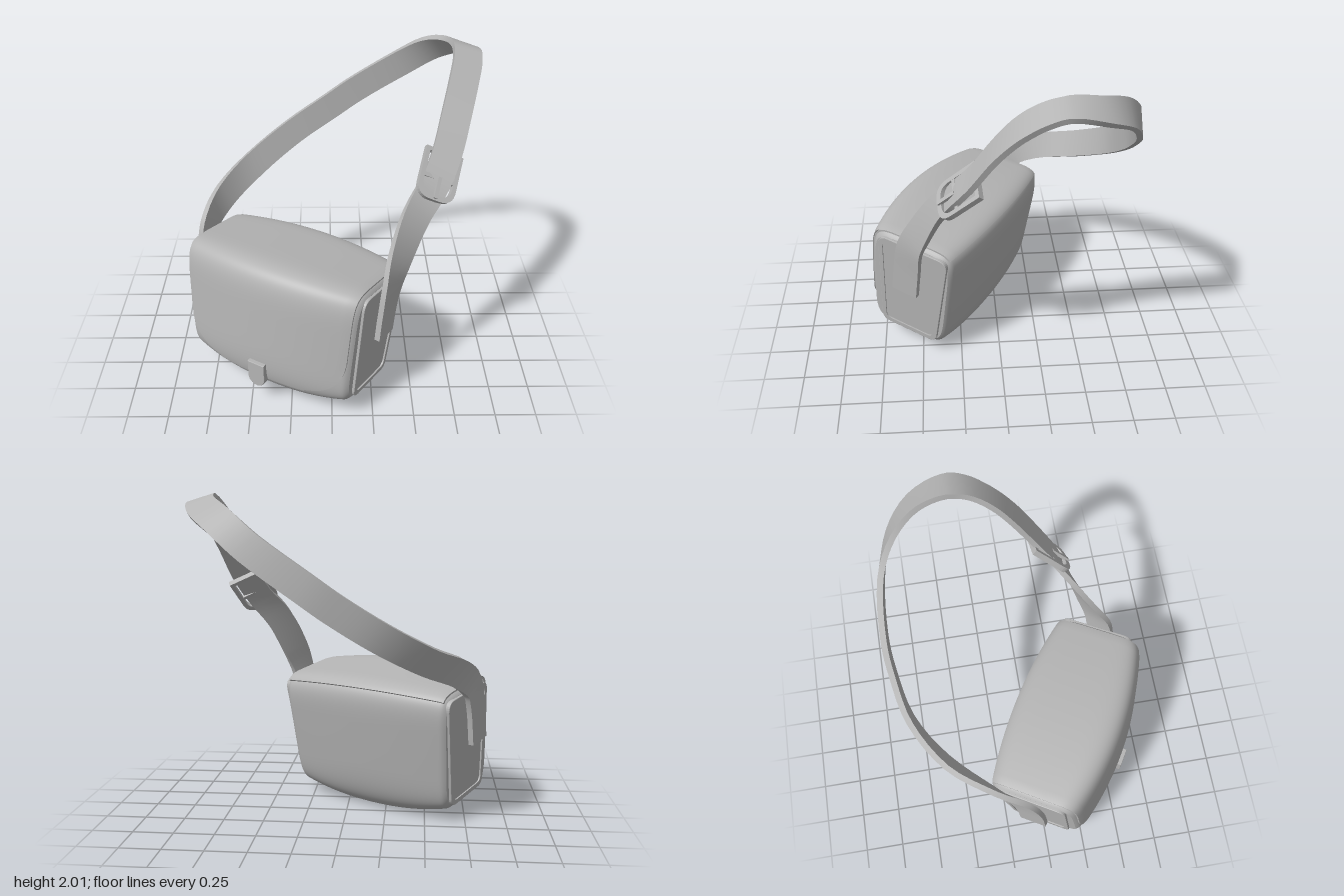
import * as THREE from 'three';
import { mergeVertices } from 'three/addons/utils/BufferGeometryUtils.js';

const V = (x, y, z) => new THREE.Vector3(x, y, z);

// Smooth surface from a rule f(u, v) -> [x, y, z], with u and v in 0..1
function grid(nu, nv, f) {
  const pos = [], idx = [];
  for (let i = 0; i <= nu; i++) for (let j = 0; j <= nv; j++) pos.push(...f(i / nu, j / nv));
  for (let i = 0; i < nu; i++) for (let j = 0; j < nv; j++) {
    const a = i * (nv + 1) + j, b = a + nv + 1;
    idx.push(a, b, b + 1, a, b + 1, a + 1);
  }
  let g = new THREE.BufferGeometry();
  g.setAttribute('position', new THREE.Float32BufferAttribute(pos, 3));
  g.setIndex(idx);
  g = mergeVertices(g, 1e-5);
  g.computeVertexNormals();
  return g;
}

// Bulging pouch surface: t runs along the length (-1..1), a goes round the section
function pouch(t, a, off = 0, k = 1) {
  const b = 1 - t * t, c = Math.cos(a), s = Math.sin(a);
  const hz = (c > 0 ? 0.3 + 0.095 * b : 0.275 + 0.06 * b) + off;
  const hy = (s > 0 ? 0.385 + 0.042 * b : 0.365 + 0.09 * b) + off;
  const n = s > 0 ? 6 : 4 + 2 * t * t;
  const end = k * (1 - 0.06 * Math.max(0, (Math.abs(t) - 0.94) / 0.06) ** 2);
  const y = Math.sign(s) * Math.abs(s) ** (2 / n) * hy * end;
  const z = Math.sign(c) * Math.abs(c) ** (2 / n) * hz * end * (0.95 + 0.12 * y);
  return [0.615 * t * (0.96 + 0.1 * y), y, z];
}

// Tapered plate with rounded corners
function plate(top, bottom, yTop, yBottom, r, Type = THREE.Shape) {
  const p = new Type();
  p.moveTo(-top + r, yTop);
  p.lineTo(top - r, yTop);
  p.quadraticCurveTo(top, yTop, top, yTop - r);
  p.lineTo(bottom, yBottom + r);
  p.quadraticCurveTo(bottom, yBottom, bottom - r, yBottom);
  p.lineTo(-bottom + r, yBottom);
  p.quadraticCurveTo(-bottom, yBottom, -bottom, yBottom + r);
  p.lineTo(-top, yTop - r);
  p.quadraticCurveTo(-top, yTop, -top + r, yTop);
  return p;
}

const extrude = (shape, depth, bevel = 0) => new THREE.ExtrudeGeometry(shape, {
  depth, bevelEnabled: bevel > 0, bevelSize: bevel, bevelThickness: bevel, bevelSegments: 2, curveSegments: 8,
});

// Strap path: centre and width direction at each point
const STRAP = [
  [.31, .50, .59, .52, 0, -.855], [.33, .68, .57, .54, 0, -.84], [.36, .85, .545, .6, -.1, -.72],
  [.405, 1.0, .48, .72, -.2, -.5], [.49, 1.2, .38, .8, -.3, -.2], [.60, 1.36, .28, .85, -.37, .1],
  [.67, 1.5, .18, .88, -.37, .15], [.73, 1.7, .05, .94, -.3, .1], [.775, 1.84, -.07, .95, -.28, 0],
  [.81, 1.93, -.2, .95, -.28, 0], [.815, 1.96, -.32, .95, -.28, 0], [.77, 1.92, -.5, .88, -.45, -.1],
  [.64, 1.84, -.65, .75, -.65, -.1], [.46, 1.7, -.745, .6, -.8, 0], [.17, 1.5, -.79, .55, -.83, 0],
  [0, 1.38, -.78, .53, -.84, 0], [-.25, 1.22, -.725, .5, -.85, .03], [-.5, 1.07, -.555, .5, -.8, .08],
  [-.69, .96, -.31, .46, -.75, -.2], [-.775, .86, -.16, .5, -.35, -.75],
  [-.8, .74, -.11, .52, 0, -.855], [-.82, .50, -.08, .52, 0, -.855],
];

export function createModel() {
  const model = new THREE.Group();
  const leather = new THREE.MeshStandardMaterial({ color: 0xb4b4b4, side: THREE.DoubleSide });
  leather.name = 'grey leather';
  const add = (parent, name, geo) => {
    const m = new THREE.Mesh(geo, leather);
    m.name = name;
    parent.add(m);
    return m;
  };

  // Pouch, turned and leaning back
  const bag = new THREE.Group();
  bag.name = 'bag';
  bag.position.set(-0.245, 0.46, 0.249);
  bag.rotation.set(-0.13, -0.545, 0, 'YXZ');
  model.add(bag);
  add(bag, 'body', grid(50, 96, (u, v) => pouch(Math.sin((u - 0.5) * Math.PI), (v * 2 - 1) * Math.PI)));

  // Flap over the top and front, with rounded lower corners
  const A0 = 2.3, A1 = -0.54;
  const flap = (u, v, off) => {
    const a = A0 + (A1 - A0) * (1 - v);
    const q = THREE.MathUtils.clamp((-0.02 - pouch(0, a)[1]) / 0.29, 0, 1);
    const half = 0.965 - 0.42 * (1 - Math.sqrt(1 - q * q));
    return pouch((u * 2 - 1) * half, a, off);
  };
  const T = 0.014;
  add(bag, 'flap', grid(40, 90, (u, v) => flap(u, v, T)));
  for (const e of [0, 1]) {
    add(bag, 'flapSideEdge', grid(90, 1, (u, v) => flap(e, u, T * v - 0.004)));
    add(bag, 'flapEndEdge', grid(40, 1, (u, v) => flap(u, e, T * v - 0.004)));
  }

  // Clasp tab at the flap's lower edge
  const tab = new THREE.Shape();
  tab.moveTo(-0.055, 0.08);
  tab.lineTo(-0.055, -0.03);
  tab.absarc(0, -0.03, 0.055, Math.PI, Math.PI * 2);
  tab.lineTo(0.055, 0.08);
  const clasp = add(bag, 'clasp', extrude(tab, 0.06, 0.004));
  clasp.position.set(0, -0.295, 0.325);
  clasp.rotation.x = 0.13;

  // End caps, side panels and raised piping, alike on both ends
  for (const turn of [0, Math.PI]) {
    const side = turn ? -1 : 1;
    add(bag, 'endCap', grid(1, 96, (u, v) => pouch(side, (v * 2 - 1) * Math.PI, 0, u)));
    const end = new THREE.Group();
    end.name = turn ? 'rightEnd' : 'leftEnd';
    end.rotation.y = turn;
    bag.add(end);
    const place = g => g.rotateY(Math.PI / 2).rotateZ(-0.06).translate(0.575, 0, 0);
    add(end, 'sidePanel', place(extrude(plate(0.23, 0.19, 0.35, -0.32, 0.05), 0.02)));
    const rim = plate(0.24, 0.203, 0.357, -0.335, 0.06);
    rim.holes.push(plate(0.213, 0.177, 0.33, -0.308, 0.045, THREE.Path));
    add(end, 'piping', place(extrude(rim, 0.028, 0.004)));
  }

  // Shoulder strap: a flat band swept along the path
  const path = new THREE.CatmullRomCurve3(STRAP.map(p => V(p[0], p[1], p[2])));
  const across = new THREE.CatmullRomCurve3(STRAP.map(p => V(p[3], p[4], p[5])));
  const W = 0.087, H = 0.017;
  const edge = [[-W, H], [W, H], [W, -H], [-W, -H], [-W, H]];
  const at = (u, a, b) => {
    const t = path.getTangent(u), w = across.getPoint(u);
    w.addScaledVector(t, -w.dot(t)).normalize();
    return path.getPoint(u).addScaledVector(w, a).addScaledVector(w.clone().cross(t), b).toArray();
  };
  const strap = new THREE.Group();
  strap.name = 'strap';
  model.add(strap);
  for (let k = 0; k < 4; k++) {
    const [a, b] = [edge[k], edge[k + 1]];
    add(strap, 'strapFace', grid(84, 1, (u, v) =>
      at(u, a[0] + (b[0] - a[0]) * (1 - v), a[1] + (b[1] - a[1]) * (1 - v))));
  }
  for (const e of [0, 1]) add(strap, 'strapEnd', grid(1, 1, (u, v) => at(e, W * (2 * u - 1), H * (2 * v - 1))));

  // Buckle on the front strand, tipped back from the strap: frame, cross bar and prong
  const up = V(0.25, 0.66, -0.7).normalize(), wide = V(0.9, -0.37, -0.1);
  wide.addScaledVector(up, -wide.dot(up)).normalize();
  const buckle = new THREE.Group();
  buckle.name = 'buckle';
  buckle.applyMatrix4(new THREE.Matrix4().makeBasis(wide, up, wide.clone().cross(up)).setPosition(0.62, 1.385, 0.24));
  model.add(buckle);
  const ring = (Type, w, top, low, r) => {
    const s = new Type();
    s.moveTo(-w, top);
    s.lineTo(-w, low + r);
    s.quadraticCurveTo(-w, low, -w + r, low);
    s.lineTo(w - r, low);
    s.quadraticCurveTo(w, low, w, low + r);
    s.lineTo(w, top);
    s.closePath();
    return s;
  };
  const hoop = ring(THREE.Shape, 0.12, 0.15, -0.155, 0.09);
  hoop.holes.push(ring(THREE.Path, 0.094, 0.125, -0.125, 0.07));
  add(buckle, 'buckleFrame', extrude(hoop, 0.035)).position.z = -0.01;
  add(buckle, 'buckleBar', new THREE.BoxGeometry(0.2, 0.024, 0.024)).position.set(0, -0.02, 0.012);
  add(buckle, 'prong', new THREE.BoxGeometry(0.022, 0.13, 0.02)).position.set(0, -0.08, 0.028);

  return model;
}
